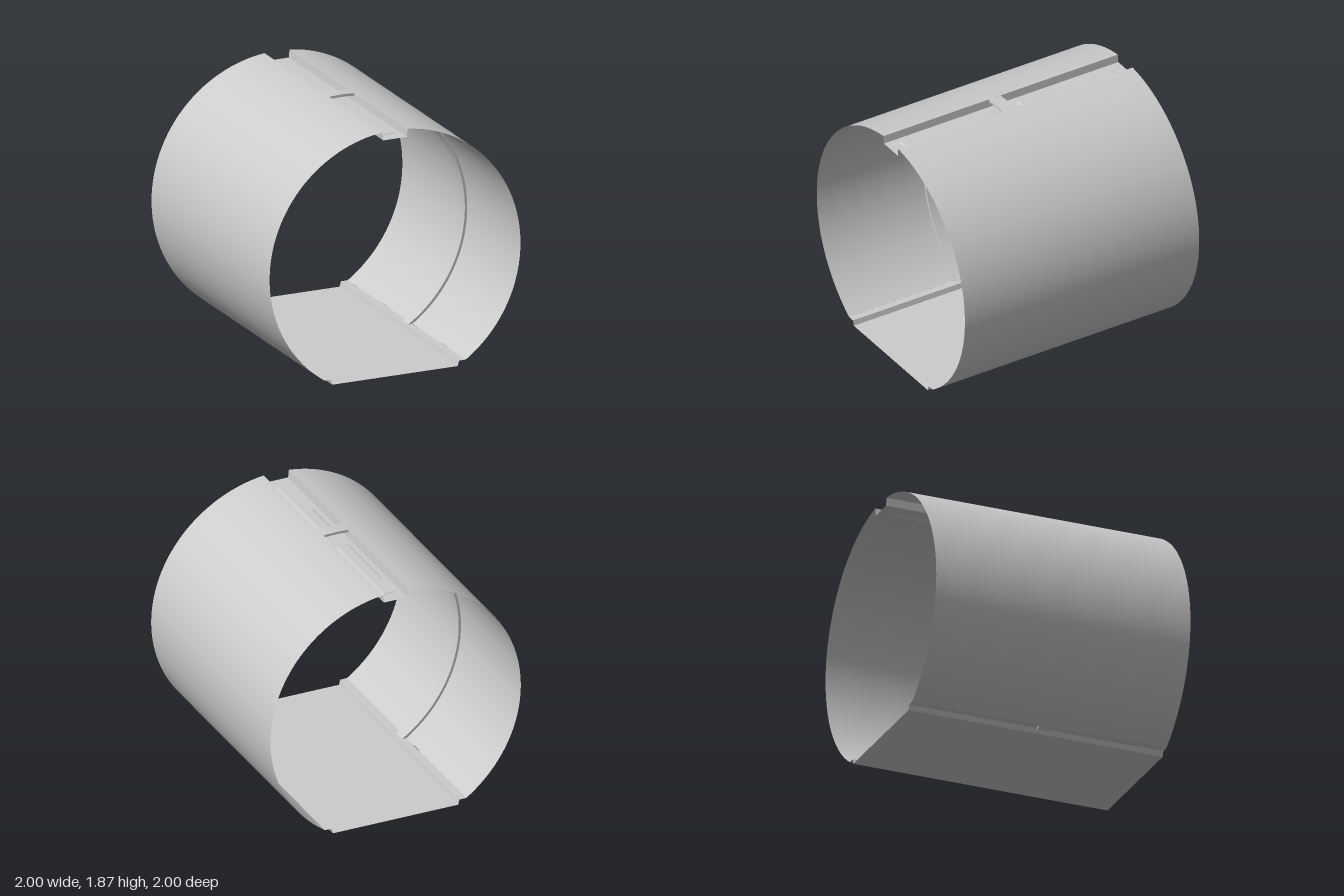
import * as THREE from 'three';

const CY = 0.866;   // height of the tube axis
const LEN = 2;      // tube length along z

export function createModel() {
  const group = new THREE.Group();
  const mat = new THREE.MeshStandardMaterial({ color: 0xcccccc, side: THREE.DoubleSide });

  const add = (name, geometry) => {
    const mesh = new THREE.Mesh(geometry, mat);
    mesh.name = name;
    group.add(mesh);
    return mesh;
  };

  // thin folded sheet: a profile of [x, y] points swept along z, flat per strip
  const sheet = (points) => {
    const pos = [];
    for (let i = 0; i < points.length - 1; i++) {
      const [ax, ay] = points[i], [bx, by] = points[i + 1], h = LEN / 2;
      pos.push(ax, ay, h, bx, by, h, bx, by, -h, ax, ay, h, bx, by, -h, ax, ay, -h);
    }
    const g = new THREE.BufferGeometry();
    g.setAttribute('position', new THREE.Float32BufferAttribute(pos, 3));
    g.computeVertexNormals();
    return g;
  };

  // curved side walls, channel walls and floor rails, mirrored in x
  const top = Math.asin(0.1), bottom = Math.PI - Math.asin(0.564);
  for (const s of [1, -1]) {
    const side = s > 0 ? 'left' : 'right';
    const start = s > 0 ? top : -bottom;
    const shell = new THREE.CylinderGeometry(1, 1, LEN, 64, 1, true, start, bottom - top);
    shell.rotateX(-Math.PI / 2).translate(0, CY, 0);
    add(side + 'Shell', shell);

    const channel = [[s * 0.1, 1.861], [s * 0.094, 1.8]];
    const rail = [[s * 0.564, 0.04], [s * 0.51, 0.04], [s * 0.5, 0]];
    // order the profiles so that normals face up and into the groove
    add(side + 'ChannelWall', sheet(s > 0 ? channel.reverse() : channel));
    add(side + 'FloorRail', sheet(s > 0 ? rail.reverse() : rail));
  }

  // flat walking floor
  add('floor', sheet([[-0.5, 0], [0.5, 0]]));

  // channel floor with an opening for each light panel
  const rect = (path, w, z0, z1) => {
    path.moveTo(-w, z0);
    path.lineTo(w, z0);
    path.lineTo(w, z1);
    path.lineTo(-w, z1);
    path.closePath();
    return path;
  };
  const tray = rect(new THREE.Shape(), 0.094, -1, 1);
  for (const s of [1, -1]) {
    tray.holes.push(rect(new THREE.Path(), 0.05, s * 0.5 - 0.4, s * 0.5 + 0.4));
  }
  const trayGeo = new THREE.ShapeGeometry(tray);
  trayGeo.rotateX(-Math.PI / 2).translate(0, 1.8, 0);
  add('channelFloor', trayGeo);

  // raised light panels with sloped borders, open underneath
  for (const s of [1, -1]) {
    const panel = new THREE.CylinderGeometry(Math.SQRT1_2, Math.SQRT1_2, 0.01, 4, 1, true, Math.PI / 4);
    const p = panel.attributes.position;
    for (let i = 0; i < p.count; i++) {
      const inset = p.getY(i) > 0 ? 0.01 : 0;
      p.setX(i, Math.sign(p.getX(i)) * (0.05 - inset));
      p.setZ(i, Math.sign(p.getZ(i)) * (0.4 - inset));
    }
    const border = panel.toNonIndexed();
    border.computeVertexNormals();
    add('lightPanelBorder', border).position.set(0, 1.805, s * 0.5);

    const face = new THREE.PlaneGeometry(0.08, 0.78).rotateX(-Math.PI / 2);
    add('lightPanel', face).position.set(0, 1.81, s * 0.5);
  }

  // middle rib: a narrow hoop under the shell that bridges the top channel
  const a = THREE.MathUtils.degToRad(-58), b = Math.PI - a;
  const hoop = new THREE.Shape();
  hoop.absarc(0, 0, 0.999, a, b, false);
  hoop.absarc(0, 0, 0.98, b, a, true);
  hoop.closePath();
  const rib = new THREE.ExtrudeGeometry(hoop, { depth: 0.1, bevelEnabled: false, curveSegments: 128 });
  add('middleRib', rib).position.set(0, CY, 0);

  return group;
}
